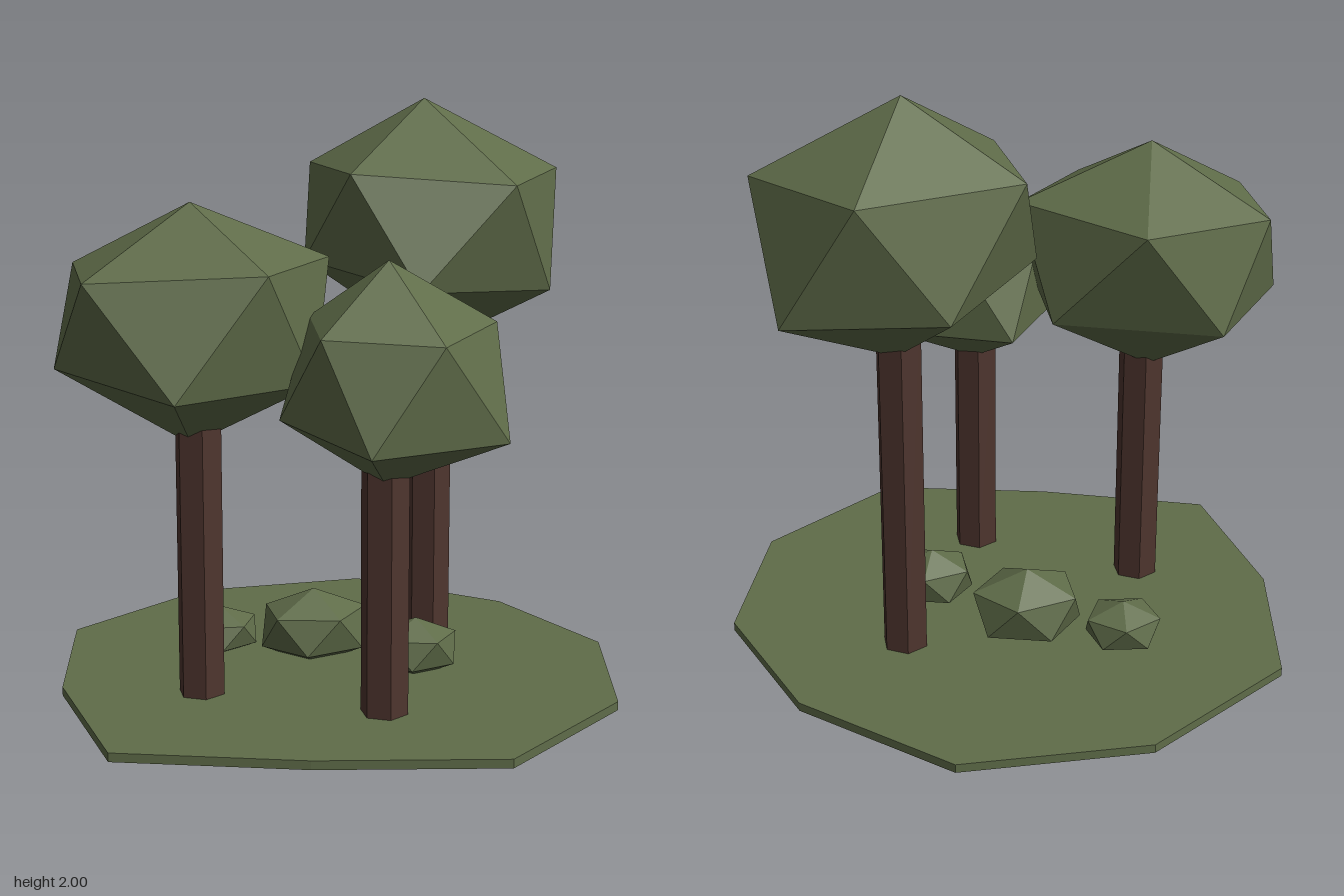
import * as THREE from 'three';

const green = new THREE.MeshStandardMaterial({ color: 0x5f6c49, flatShading: true });
green.name = 'leafGreen';
const brown = new THREE.MeshStandardMaterial({ color: 0x4e352e, flatShading: true });
brown.name = 'barkBrown';

// Twenty-sided clump: top point, upper ring, lower ring (clockwise from above), bottom point
function clump(name, top, upper, lower, bottom) {
  const pos = [];
  for (let i = 0; i < 5; i++) {
    const j = (i + 1) % 5;
    pos.push(...top, ...upper[j], ...upper[i]);
    pos.push(...upper[i], ...upper[j], ...lower[i]);
    pos.push(...upper[j], ...lower[j], ...lower[i]);
    pos.push(...bottom, ...lower[i], ...lower[j]);
  }
  const geo = new THREE.BufferGeometry();
  geo.setAttribute('position', new THREE.Float32BufferAttribute(pos, 3));
  geo.computeVertexNormals();
  const mesh = new THREE.Mesh(geo, green);
  mesh.name = name;
  return mesh;
}

// Low bush: regular squashed clump
function bush(name, [x, y, z], rx, ry, rz, turn) {
  const ring = (start, h) => [0, 1, 2, 3, 4].map((i) => {
    const a = turn + start + (i * Math.PI * 2) / 5;
    return [x + rx * Math.cos(a), y + h * ry, z + rz * Math.sin(a)];
  });
  return clump(name, [x, y + ry, z], ring(0, 0.447), ring(Math.PI / 5, -0.447), [x, y - ry, z]);
}

const trees = [
  {
    name: 'leftTree', trunk: [-0.513, 0.155], height: 1.1,
    top: [-0.53, 1.70, 0.16], bottom: [-0.53, 0.90, 0.12],
    upper: [[-0.42, 1.50, -0.27], [-0.07, 1.51, 0.145], [-0.345, 1.50, 0.50], [-0.90, 1.475, 0.35], [-0.88, 1.485, -0.10]],
    lower: [[-0.15, 1.15, -0.08], [-0.17, 1.13, 0.37], [-0.65, 1.12, 0.55], [-0.97, 1.17, 0.11], [-0.70, 1.13, -0.23]],
  },
  {
    name: 'tallTree', trunk: [0.383, -0.22], height: 1.35,
    top: [0.36, 2.0, -0.235], bottom: [0.39, 1.13, -0.22],
    upper: [[0.545, 1.78, -0.66], [0.835, 1.755, -0.195], [0.555, 1.73, 0.195], [0.03, 1.765, 0.03], [0.005, 1.77, -0.46]],
    lower: [[0.775, 1.37, -0.53], [0.75, 1.35, 0], [0.215, 1.39, 0.24], [-0.065, 1.45, -0.245], [0.265, 1.39, -0.635]],
  },
  {
    name: 'frontTree', trunk: [0.033, 0.48], height: 1.0,
    top: [0.045, 1.535, 0.465], bottom: [0.035, 0.815, 0.48],
    upper: [[0.13, 1.31, 0.165], [0.387, 1.335, 0.51], [0.135, 1.31, 0.79], [-0.22, 1.325, 0.66], [-0.17, 1.34, 0.285]],
    lower: [[0.35, 1.01, 0.275], [0.37, 0.985, 0.71], [-0.10, 0.98, 0.81], [-0.315, 1.05, 0.50], [-0.05, 1.0, 0.135]],
  },
];

export function createModel() {
  const model = new THREE.Group();
  model.name = 'grove';

  // Ground plate, outlined in x and z
  const outline = [[0.31, -0.96], [-0.33, -0.955], [-0.855, -0.59], [-0.965, 0], [-0.885, 0.61],
    [-0.29, 0.82], [0.315, 0.955], [0.81, 0.575], [0.967, 0], [0.77, -0.54]];
  const shape = new THREE.Shape(outline.map(([x, z]) => new THREE.Vector2(x, -z)));
  const plate = new THREE.ExtrudeGeometry(shape, { depth: 0.03, bevelEnabled: false });
  plate.rotateX(-Math.PI / 2);
  const ground = new THREE.Mesh(plate, green);
  ground.name = 'ground';
  ground.position.y = 0.024;
  model.add(ground);

  // Trees: six-sided trunk and faceted crown
  for (const t of trees) {
    const tree = new THREE.Group();
    tree.name = t.name;
    const base = 0.026;
    const trunk = new THREE.Mesh(new THREE.CylinderGeometry(0.08, 0.08, t.height - base, 6), brown);
    trunk.name = 'trunk';
    trunk.position.set(t.trunk[0], (t.height + base) / 2, t.trunk[1]);
    tree.add(trunk, clump('crown', t.top, t.upper, t.lower, t.bottom));
    model.add(tree);
  }

  // Bushes
  model.add(
    bush('smallBush', [-0.365, 0.107, -0.31], 0.132, 0.09, 0.125, -0.2),
    bush('largeBush', [-0.05, 0.14, -0.18], 0.19, 0.14, 0.165, 0),
    bush('rightBush', [0.25, 0.127, 0.09], 0.145, 0.107, 0.125, 0),
  );
  return model;
}
